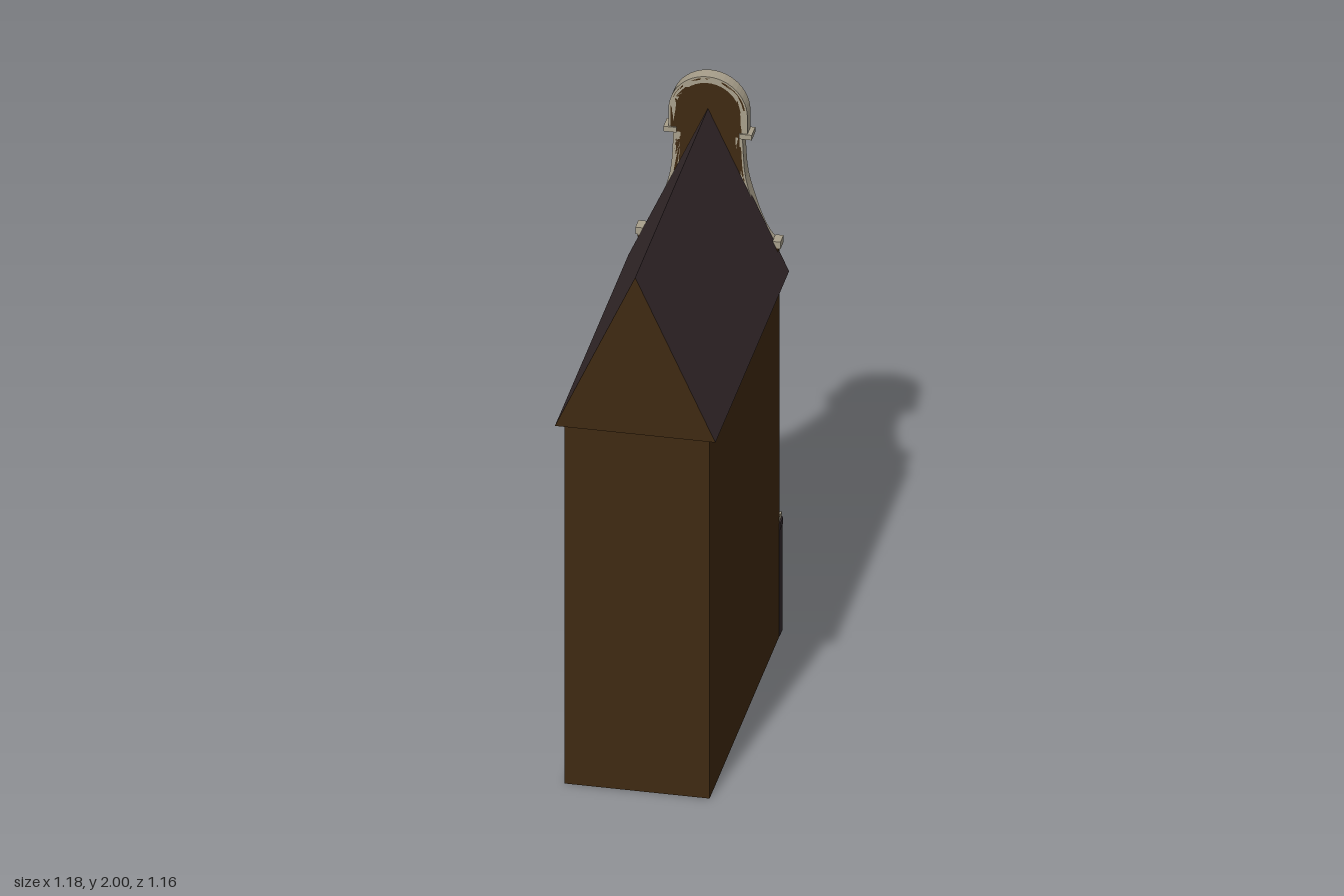
import * as THREE from 'three';

const mat = (name, color) => {
  const m = new THREE.MeshStandardMaterial({ color });
  m.name = name;
  return m;
};

export function createModel() {
  const brick = mat('brown brick', 0x3f2911);
  const slate = mat('dark slate', 0x362a2c);
  const stone = mat('pale stone', 0xa89f8b);
  const glass = mat('dark glass', 0x352c32);
  const wood = mat('dark painted wood', 0x32282c);

  const model = new THREE.Group();
  model.name = 'canalHouse';
  // The house stands diagonally; its facade faces local +z
  const house = new THREE.Group();
  house.name = 'house';
  house.rotation.y = 2.334;
  model.add(house);

  const add = (parent, name, geo, material, x = 0, y = 0, z = 0) => {
    const m = new THREE.Mesh(geo, material);
    m.name = name;
    m.position.set(x, y, z);
    parent.add(m);
    return m;
  };
  // Box given by centre x, bottom and top, back and front
  const box = (parent, name, material, x, w, y0, y1, z0, z1) =>
    add(parent, name, new THREE.BoxGeometry(w, y1 - y0, z1 - z0), material, x, (y0 + y1) / 2, (z0 + z1) / 2);
  const extrude = (pts, depth) => new THREE.ExtrudeGeometry(
    new THREE.Shape(pts.map(([x, y]) => new THREE.Vector2(x, y))), { depth, bevelEnabled: false });

  const WALL = 0.535;

  // Walls and roof
  box(house, 'walls', brick, 0, 0.47, 0, 1.315, -WALL, WALL);
  add(house, 'roof', extrude([[-0.26, 1.315], [0.26, 1.315], [0, 1.885]], 1.128), [brick, slate], 0, 0, -0.564);

  // Half outlines of the bell gable: concave flank, then the arch
  const flank = new THREE.SplineCurve([
    [0.23, 1.41], [0.205, 1.425], [0.175, 1.475], [0.145, 1.56], [0.12, 1.66], [0.112, 1.79],
  ].map(p => new THREE.Vector2(...p))).getPoints(18).map(p => [p.x, p.y]);
  const arch = [[0.128, 1.8]];
  for (let i = 0; i <= 24; i++) {
    const a = (i / 24) * Math.PI;
    arch.push([0.128 * Math.cos(a), 1.867 + 0.133 * Math.sin(a)]);
  }
  arch.push([-0.128, 1.8]);

  // Moves a polyline sideways, to its left
  const offset = (pts, d) => pts.map(([x, y], i) => {
    const a = pts[Math.max(i - 1, 0)], b = pts[Math.min(i + 1, pts.length - 1)];
    const l = Math.hypot(b[0] - a[0], b[1] - a[1]);
    return [x - (b[1] - a[1]) / l * d, y + (b[0] - a[0]) / l * d];
  });
  const band = (pts, from, to) => [...offset(pts, from), ...offset(pts, to).reverse()];
  const mirror = pts => pts.map(([x, y]) => [-x, y]);

  // Gable wall
  const gable = new THREE.Group();
  gable.name = 'gable';
  house.add(gable);
  const inner = offset(flank, 0.006);
  const plate = [[0.225, 1.315], ...inner, ...offset(arch, 0.006), ...mirror(inner).reverse(), [-0.225, 1.315]];
  add(gable, 'gableWall', extrude(plate, 0.025), brick, 0, 0, 0.55);

  // Stone mouldings in two steps
  for (const [from, to, depth] of [[0, 0.011, 0.047], [0.011, 0.023, 0.036]]) {
    const side = band(flank, from, to);
    add(gable, 'flankTrimLeft', extrude(side, depth), stone, 0, 0, 0.55);
    add(gable, 'flankTrimRight', extrude(mirror(side), depth), stone, 0, 0, 0.55);
    add(gable, 'archTrim', extrude(band(arch, from, to), depth), stone, 0, 0, 0.55);
  }
  for (const s of [-1, 1]) {
    box(gable, 'capital', stone, s * 0.122, 0.042, 1.788, 1.806, 0.545, 0.6);
    box(gable, 'scrollEnd', stone, s * 0.222, 0.026, 1.4, 1.425, 0.55, 0.597);
  }

  // Oval medallion
  const medal = add(gable, 'medallion', new THREE.SphereGeometry(1, 20, 12), stone, 0, 1.842, 0.575);
  medal.scale.set(0.028, 0.042, 0.012);

  // Sash window: frame with recessed panes, centre bar, transom and sill
  const sash = (x, w, y0, y1, front) => {
    const g = new THREE.Group();
    g.name = 'window';
    house.add(g);
    const t = 0.012, back = 0.53, yT = y0 + (y1 - y0) * 0.64;
    for (const s of [-1, 1]) box(g, 'frameSide', stone, x + s * (w - t) / 2, t, y0, y1, back, front);
    box(g, 'frameTop', stone, x, w - 2 * t, y1 - t, y1, back, front);
    box(g, 'frameBottom', stone, x, w - 2 * t, y0, y0 + t, back, front);
    box(g, 'panes', glass, x, w - 2 * t, y0 + t, y1 - t, back, front - 0.012);
    box(g, 'centreBar', stone, x, 0.01, y0 + t, y1 - t, front - 0.014, front - 0.004);
    box(g, 'transom', stone, x, w - 2 * t, yT - 0.005, yT + 0.005, front - 0.014, front + 0.002);
    box(g, 'sill', stone, x, w + 0.008, y0 - 0.006, y0 + 0.005, back, front + 0.006);
  };
  for (const x of [-0.156, 0, 0.156]) {
    sash(x, 0.115, 0.455, 0.765, 0.586);
    sash(x, 0.115, 0.835, 1.125, 0.586);
  }
  for (const x of [-0.071, 0.071]) sash(x, 0.112, 1.22, 1.515, 0.594);
  sash(0, 0.092, 1.58, 1.77, 0.594);

  // Wooden ground floor front
  const shop = new THREE.Group();
  shop.name = 'groundFloorFront';
  house.add(shop);
  box(shop, 'backing', wood, 0, 0.47, 0, 0.395, 0.53, 0.555);
  box(shop, 'fascia', wood, 0, 0.476, 0.388, 0.412, 0.53, 0.578);
  box(shop, 'cornice', stone, 0, 0.472, 0.42, 0.436, 0.53, 0.565);
  for (const x of [-0.225, -0.078, 0.078, 0.225])
    box(shop, 'pilaster', wood, x, 0.022, 0, 0.39, 0.53, 0.573);
  for (const x of [-0.152, 0, 0.152]) {
    box(shop, 'door', wood, x, 0.108, 0.01, 0.375, 0.55, 0.562);
    for (const [y0, y1] of [[0.03, 0.11], [0.13, 0.205], [0.225, 0.36]])
      box(shop, 'doorPanel', wood, x, 0.076, y0, y1, 0.56, 0.569);
  }
  return model;
}
